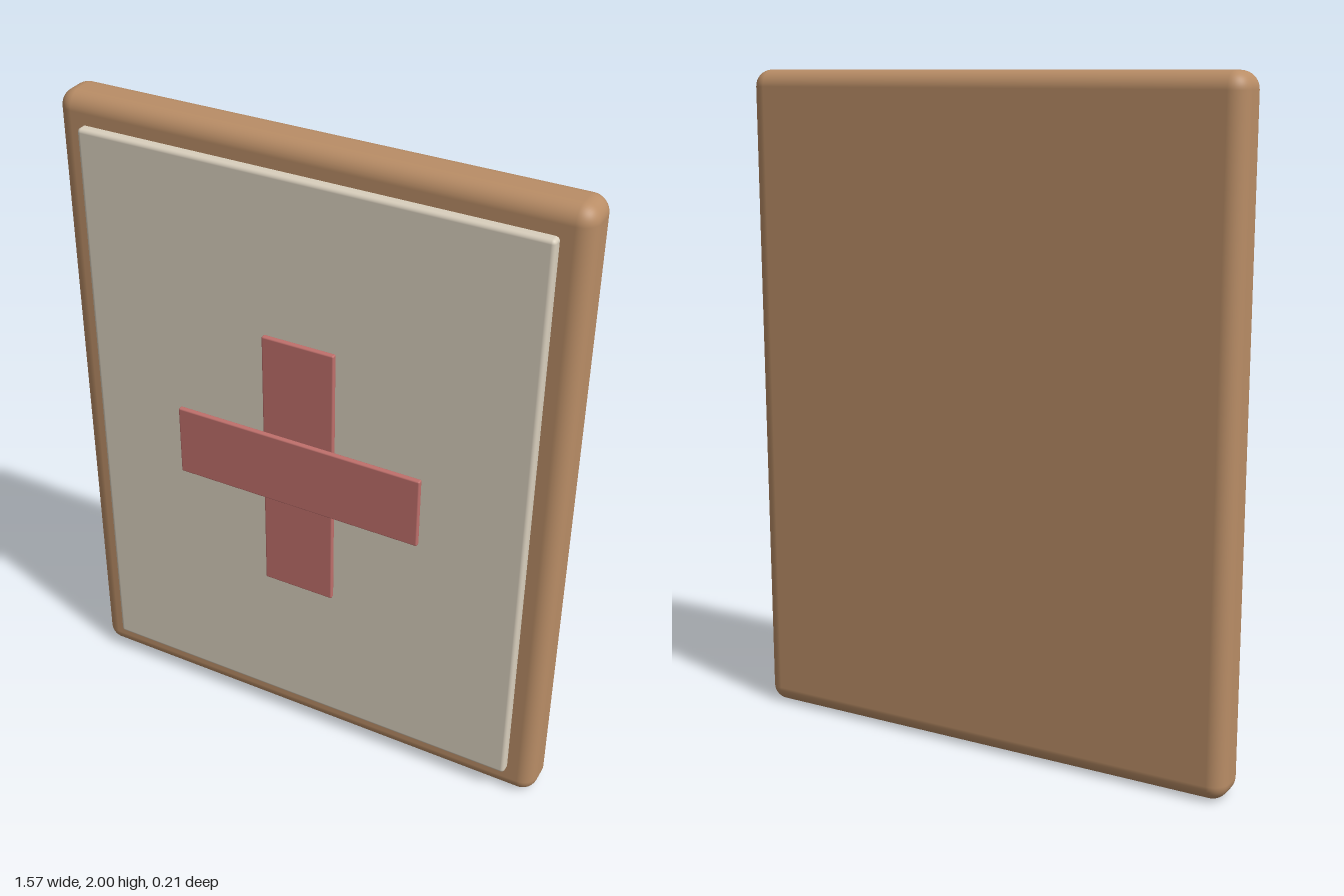
import * as THREE from 'three';
import { RoundedBoxGeometry } from 'three/addons/geometries/RoundedBoxGeometry.js';

// Rounded slab spanning z0..z1, centred on x = 0 and on height y
function slab(name, color, width, height, y, z0, z1, radius, segments) {
  const mesh = new THREE.Mesh(
    new RoundedBoxGeometry(width, height, z1 - z0, segments, radius),
    new THREE.MeshStandardMaterial({ color })
  );
  mesh.name = name;
  mesh.position.set(0, y, (z0 + z1) / 2);
  return mesh;
}

export function createModel() {
  const group = new THREE.Group();
  group.name = 'crossSign';
  const wood = 0xb98d66, cream = 0xd9cfbd, red = 0xc0706c;

  // Wooden backing board with soft edges
  group.add(slab('backingBoard', wood, 1.57, 2, 1, -0.104, 0.037, 0.05, 5));

  // Cream panel sitting proud of the board
  group.add(slab('facePanel', cream, 1.4, 1.826, 1.003, 0.01, 0.065, 0.012, 3));

  // Two crossed bars floating just in front of the panel
  group.add(slab('verticalBar', red, 0.226, 0.858, 1.003, 0.072, 0.089, 0.005, 2));
  group.add(slab('horizontalBar', red, 0.782, 0.226, 1.003, 0.087, 0.104, 0.005, 2));

  return group;
}
